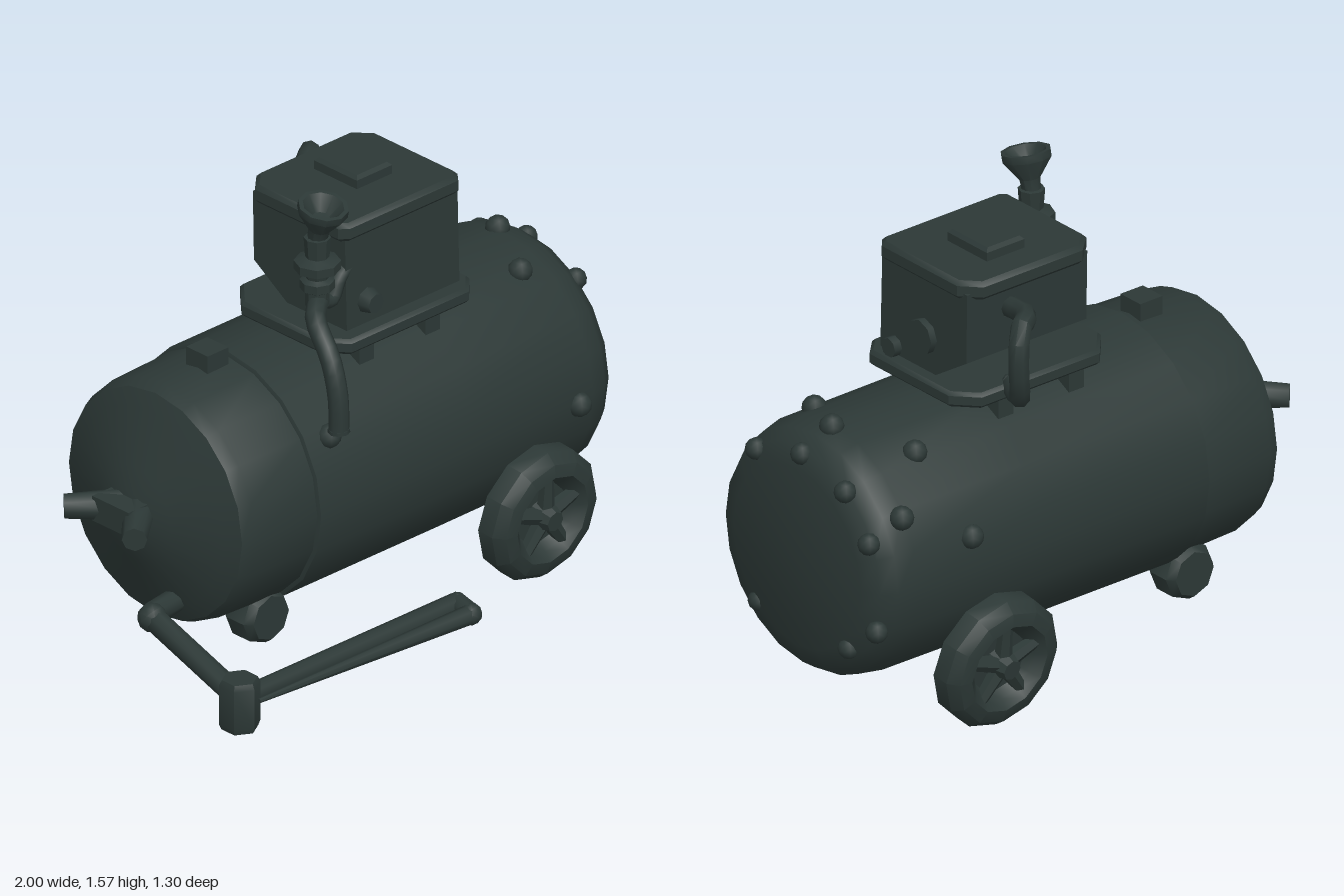
import * as THREE from 'three';
import { toCreasedNormals } from 'three/addons/utils/BufferGeometryUtils.js';

const V = (x, y, z) => new THREE.Vector3(x, y, z);
const CZ = -0.06, CY = 0.555; // tank axis

export function createModel() {
  const model = new THREE.Group();
  model.name = 'airCompressor';
  const darkMetal = new THREE.MeshStandardMaterial({ color: 0x2c3836 });
  darkMetal.name = 'dark metal';

  // helpers
  const add = (name, geo, parent = model, crease = 0.7) => {
    const mesh = new THREE.Mesh(toCreasedNormals(geo, crease), darkMetal);
    mesh.name = name;
    parent.add(mesh);
    return mesh;
  };
  const lathe = (pts, sides) => new THREE.LatheGeometry(pts.map(p => new THREE.Vector2(p[0], p[1])), sides);
  const rod = (name, a, b, ra, rb = ra, sides = 8) => {
    const dir = b.clone().sub(a);
    const mesh = add(name, new THREE.CylinderGeometry(rb, ra, dir.length(), sides), model, 0.9);
    mesh.position.copy(a).addScaledVector(dir, 0.5);
    mesh.quaternion.setFromUnitVectors(V(0, 1, 0), dir.normalize());
    return mesh;
  };
  const box = (name, w, h, d, x, y, z) => add(name, new THREE.BoxGeometry(w, h, d).translate(x, y, z));
  const hose = (name, pts, r) => {
    const curve = new THREE.CatmullRomCurve3(pts);
    add(name, new THREE.TubeGeometry(curve, 12, r, 8), model, 0.9);
    const n = pts.length;
    rod(name + 'StartCap', pts[0], pts[0].clone().lerp(pts[1], 0.1), r * 1.05);
    rod(name + 'EndCap', pts[n - 1], pts[n - 1].clone().lerp(pts[n - 2], 0.1), r * 1.05);
  };
  const outline = pts => new THREE.Shape(pts.map(p => new THREE.Vector2(p[0], p[1])));
  // slab from a plan outline of [x, z] points
  const slab = (name, pts, y0, y1, bevel) => add(name,
    new THREE.ExtrudeGeometry(outline(pts.map(p => [p[0], -p[1]])), {
      depth: y1 - y0 - 2 * bevel, bevelEnabled: true, bevelSize: bevel, bevelThickness: bevel,
      bevelOffset: -bevel, bevelSegments: 1 })
      .rotateX(-Math.PI / 2).translate(0, y0 + bevel, 0));

  // tank: main shell with domed end, and the tapered nose behind its seam
  const alongX = g => g.rotateZ(-Math.PI / 2).translate(0, CY, CZ);
  add('tankShell', alongX(lathe([[0, -0.4], [0.432, -0.4], [0.445, -0.395], [0.445, 0.3], [0.442, 0.84],
    [0.425, 0.91], [0.39, 0.96], [0.32, 0.985], [0, 0.992]], 20)));
  add('tankNose', alongX(lathe([[0, -0.85], [0.09, -0.84], [0.17, -0.81], [0.35, -0.74], [0.405, -0.715],
    [0.423, -0.67], [0.432, -0.39]], 20)));
  box('noseBlock', 0.12, 0.09, 0.17, -0.86, 0.58, CZ);
  for (const s of [-1, 1])
    rod('noseProng', V(-0.82, 0.58, CZ + s * 0.03), V(-0.97, 0.575, CZ + s * 0.165), 0.055, 0.042);
  box('nosePlug', 0.095, 0.08, 0.1, -0.475, 1.0, -0.065);

  // rivets: on the domed end, then around the shell by position on its surface
  const rivet = (x, y, z, r) => add('rivet', new THREE.IcosahedronGeometry(r, 1).translate(x, y, z), model, 1);
  for (const [z, y] of [[0.17, 0.855], [-0.06, 0.925], [-0.28, 0.87], [-0.4, 0.725], [-0.44, 0.42], [-0.3, 0.31], [0.155, 0.31]])
    rivet(0.965, y, z, 0.038);
  for (const [x, angle] of [[0.75, 26], [0.85, -2], [0.68, -32], [0.85, -57], [0.6, -75], [0.78, 92], [-0.29, 58]]) {
    const a = angle * Math.PI / 180;
    rivet(x, CY + 0.44 * Math.cos(a), CZ + 0.44 * Math.sin(a), 0.042);
  }

  // wheels, leaning outward at the top
  const wheel = (z, turn, tilt) => {
    const g = new THREE.Group();
    g.name = 'wheel';
    add('tyre', lathe([[0, -0.065], [0.2, -0.065], [0.235, -0.04], [0.235, 0.025], [0.205, 0.06], [0.16, 0.068],
      [0.13, 0.04], [0.11, 0.01], [0, 0.01]], 12).rotateX(Math.PI / 2), g);
    for (let i = 0; i < 5; i++)
      add('spoke', new THREE.CylinderGeometry(0.022, 0.032, 0.16, 6)
        .translate(0, 0.08, 0.03).rotateZ(i * Math.PI * 0.4), g);
    add('hub', new THREE.CylinderGeometry(0.035, 0.06, 0.07, 8).rotateX(Math.PI / 2).translate(0, 0, 0.045), g);
    g.position.set(0.56, 0.238, z);
    g.rotation.set(tilt, turn, 0, 'YXZ');
    model.add(g);
  };
  wheel(0.415, 0, 0.08);
  wheel(-0.565, Math.PI, 0.12);
  rod('axle', V(0.56, 0.238, -0.52), V(0.56, 0.238, 0.37), 0.02);

  // small support rollers
  for (const z of [0.145, -0.29])
    add('supportRoller', lathe([[0, -0.068], [0.08, -0.068], [0.1, -0.04], [0.1, 0.04], [0.08, 0.068], [0, 0.068]], 8)
      .rotateX(Math.PI / 2).translate(-0.455, 0.142, z));

  // tow handle
  rod('handleMount', V(-0.68, 0.255, 0.05), V(-0.87, 0.255, 0.08), 0.04);
  add('handleElbow', new THREE.IcosahedronGeometry(0.05, 1).translate(-0.875, 0.25, 0.09));
  rod('handleArm', V(-0.875, 0.25, 0.09), V(-0.905, 0.14, 0.5), 0.04);
  add('handlePivot', lathe([[0, 0.02], [0.062, 0.02], [0.07, 0.04], [0.07, 0.18], [0.06, 0.2], [0, 0.2]], 6)
    .translate(-0.9, 0, 0.525));
  rod('handleBar', V(-0.88, 0.12, 0.525), V(0.08, 0.12, 0.528), 0.037);
  rod('handleReturn', V(-0.86, 0.12, 0.575), V(0.06, 0.12, 0.615), 0.008, 0.034);
  rod('handleGrip', V(0.08, 0.12, 0.53), V(0.06, 0.12, 0.615), 0.037);
  for (const [x, z] of [[0.08, 0.528], [0.06, 0.615]])
    add('handleCorner', new THREE.IcosahedronGeometry(0.038, 1).translate(x, 0.12, z));

  // pump: base plate, sloping block, lid and button
  slab('pumpBase', [[-0.19, 0.17], [-0.12, 0.245], [0.41, 0.245], [0.475, 0.18], [0.475, -0.22], [0.4, -0.3],
    [-0.1, -0.3], [-0.19, -0.2]], 0.995, 1.05, 0.012);
  const block = outline([[0.185, 1.04], [-0.08, 1.04], [-0.25, 1.15], [-0.255, 1.4], [0.175, 1.4]]);
  add('pumpBlock', new THREE.ExtrudeGeometry(block, { depth: 0.51, bevelEnabled: false })
    .rotateY(-Math.PI / 2).translate(0.425, 0, 0));
  slab('pumpLid', [[-0.11, 0.17], [-0.08, 0.195], [0.41, 0.195], [0.44, 0.16], [0.44, -0.22], [0.38, -0.285],
    [-0.04, -0.285], [-0.11, -0.22]], 1.375, 1.442, 0.015);
  slab('lidButton', [[0.11, 0.03], [0.27, 0.03], [0.27, -0.17], [0.11, -0.17]], 1.43, 1.485, 0.012);
  for (const x of [-0.01, 0.29])
    for (const z of [0.17, -0.26]) box('baseFoot', 0.065, 0.1, 0.06, x, 0.955, z);
  rod('sideBolt', V(0.41, 1.175, -0.04), V(0.45, 1.175, -0.04), 0.062);
  rod('frontBolt', V(0.01, 1.13, 0.17), V(0.01, 1.13, 0.225), 0.048, 0.035);
  rod('cornerBolt', V(0.4, 1.08, 0.11), V(0.455, 1.08, 0.11), 0.035);
  hose('rearPipe', [V(0.24, 1.3, -0.24), V(0.27, 1.32, -0.37), V(0.35, 1.32, -0.435), V(0.37, 1.2, -0.45),
    V(0.34, 1.07, -0.42), V(0.25, 1.03, -0.27)], 0.036);

  // intake: funnel on a stem with collars, feeding the pump and the tank
  const funnel = add('intakeFunnel', lathe([[0, -0.02], [0.032, -0.02], [0.036, 0.04], [0.085, 0.11],
    [0.085, 0.135], [0.07, 0.135], [0.03, 0.085], [0, 0.08]], 10));
  funnel.position.set(-0.2, 1.425, 0.165);
  funnel.rotation.x = 0.22;
  add('intakeStem', lathe([[0, 1.17], [0.04, 1.18], [0.04, 1.235], [0.058, 1.245], [0.058, 1.275], [0.04, 1.285],
    [0.045, 1.31], [0.078, 1.315], [0.078, 1.345], [0.04, 1.36], [0.045, 1.43], [0, 1.44]], 8)
    .translate(-0.2, 0, 0.165));
  hose('intakePipe', [V(-0.2, 1.2, 0.165), V(-0.14, 1.18, 0.165), V(-0.1, 1.24, 0.16), V(-0.05, 1.27, 0.15)], 0.028);
  hose('tankPipe', [V(-0.2, 1.2, 0.17), V(-0.27, 1.175, 0.23), V(-0.3, 1.08, 0.33), V(-0.305, 0.96, 0.37),
    V(-0.305, 0.83, 0.375)], 0.035);
  return model;
}
